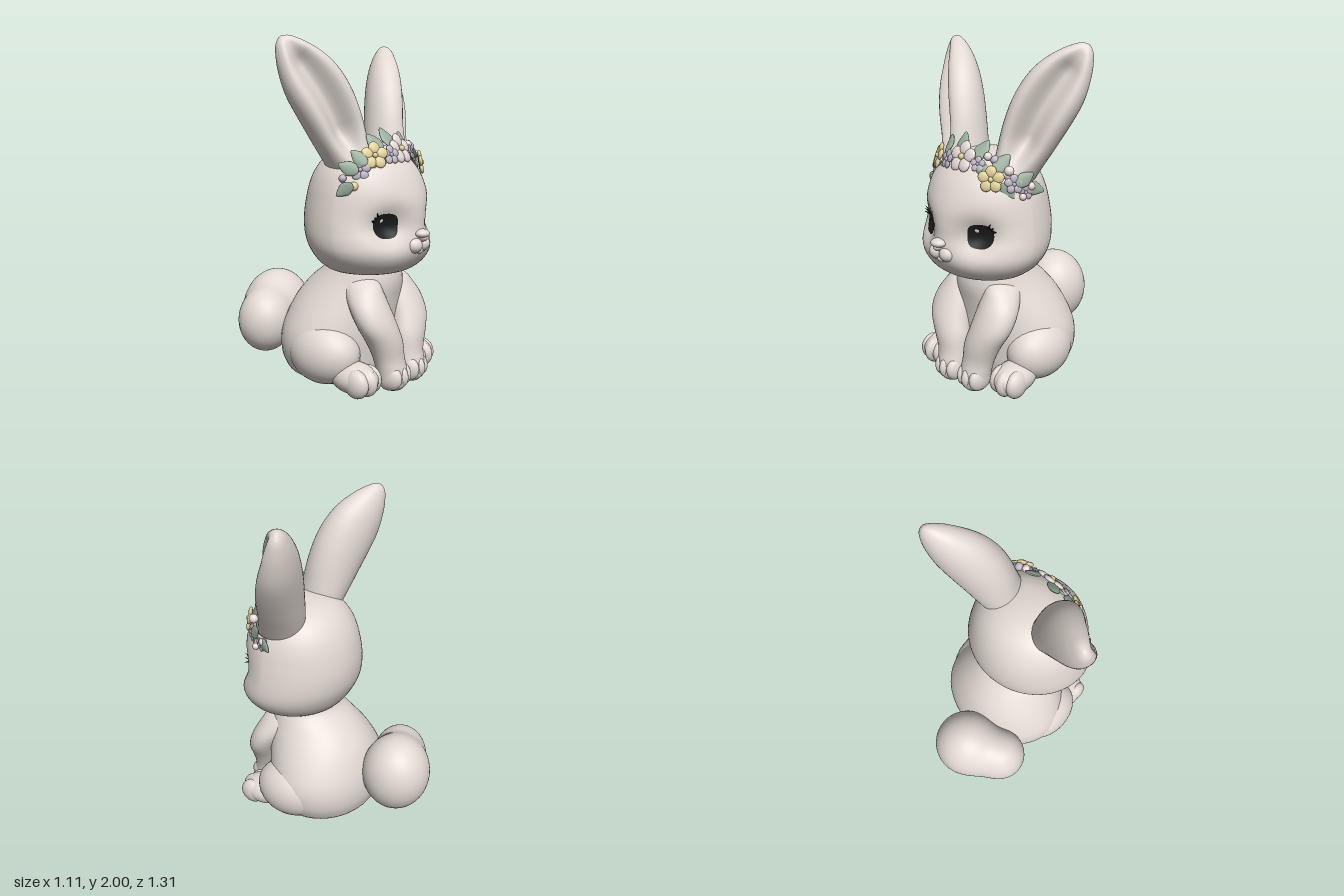
import * as THREE from 'three';

const mat = (name, color) => Object.assign(new THREE.MeshStandardMaterial({ color }), { name });
const V = (x, y, z) => new THREE.Vector3(x, y, z);

// Smooth interpolation of profile rows, keyed by their first column
function profile(rows) {
  const size = rows[0].length - 1;
  const curve = new THREE.CubicInterpolant(rows.map(r => r[0]), rows.flatMap(r => r.slice(1)), size);
  return t => Array.from(curve.evaluate(t));
}

// Row keys subdivided into even steps
function steps(rows, n) {
  const out = [];
  for (let i = 0; i < rows.length - 1; i++)
    for (let k = 0; k < n; k++) out.push(rows[i][0] + (rows[i + 1][0] - rows[i][0]) * k / n);
  return [...out, rows.at(-1)[0]];
}

// Closed skin over rings given by point(key, angle), capped at both ends
function loft(keys, point, sides = 48) {
  const rings = keys.map(k => Array.from({ length: sides }, (_, j) => point(k, j / sides * Math.PI * 2)));
  const cap = ring => {
    const c = ring.reduce((s, p) => s.add(p), V(0, 0, 0)).divideScalar(sides);
    return ring.map(() => c);
  };
  rings.unshift(cap(rings[0]));
  rings.push(cap(rings.at(-1)));
  const index = [];
  for (let i = 0; i < rings.length - 1; i++)
    for (let j = 0; j < sides; j++) {
      const a = i * sides + j, b = i * sides + (j + 1) % sides;
      index.push(a, a + sides, b, b, a + sides, b + sides);
    }
  const geo = new THREE.BufferGeometry().setFromPoints(rings.flat());
  geo.setIndex(index);
  geo.computeVertexNormals();
  return geo;
}

// Head: y, half width, back z, front z, sharpness of the face
const HEAD_X = -0.02;
const headRows = [
  [0.665, 0.12, 0.15, 0.42, 1], [0.68, 0.24, 0.05, 0.48, 1], [0.71, 0.31, -0.01, 0.535, 1],
  [0.76, 0.365, -0.055, 0.58, 1], [0.82, 0.4, -0.09, 0.608, 1.05], [0.88, 0.41, -0.115, 0.615, 1.15],
  [0.95, 0.405, -0.128, 0.61, 1.25], [1.02, 0.395, -0.13, 0.607, 1.3], [1.1, 0.38, -0.12, 0.595, 1.25],
  [1.18, 0.36, -0.1, 0.565, 1.15], [1.26, 0.325, -0.065, 0.52, 1.05], [1.33, 0.265, -0.01, 0.455, 1],
  [1.375, 0.19, 0.06, 0.39, 1], [1.397, 0.11, 0.13, 0.32, 1], [1.405, 0.04, 0.19, 0.26, 1],
];
const headAt = profile(headRows);
function faceZ(x, y) {
  const [w, zb, zf, p] = headAt(y), zm = zb + 0.53 * (zf - zb);
  const s = Math.sqrt(Math.max(0, 1 - (x / w) ** 2));
  const socket = 0.08 * Math.exp(-((Math.abs(x) - 0.2) ** 2 + (y - 0.96) ** 2) / 0.0105);
  return zm + (zf - zm) * s ** p - socket * Math.min(1, s * 1.6);
}
function headPoint(y, a) {
  const [w, zb, zf] = headAt(y), zm = zb + 0.53 * (zf - zb), x = w * Math.cos(a);
  return V(x + HEAD_X, y, Math.sin(a) >= 0 ? faceZ(x, y) : zm + (zm - zb) * Math.sin(a));
}

// Torso: y, half width, back z, front z
const torsoRows = [
  [0, 0.25, -0.16, 0.28], [0.03, 0.335, -0.245, 0.34], [0.1, 0.395, -0.29, 0.37], [0.2, 0.425, -0.305, 0.38],
  [0.3, 0.42, -0.295, 0.39], [0.4, 0.38, -0.265, 0.4], [0.5, 0.325, -0.215, 0.415], [0.6, 0.265, -0.13, 0.43],
  [0.68, 0.225, -0.03, 0.42], [0.74, 0.2, 0, 0.4],
];
// Front leg: y, centre x, centre z, radius x, radius z
const legRows = [
  [0, 0.097, 0.47, 0.06, 0.06], [0.03, 0.097, 0.47, 0.085, 0.085], [0.1, 0.099, 0.465, 0.095, 0.09],
  [0.18, 0.108, 0.45, 0.102, 0.088], [0.28, 0.132, 0.435, 0.12, 0.1], [0.38, 0.17, 0.408, 0.134, 0.107],
  [0.48, 0.18, 0.362, 0.13, 0.112], [0.56, 0.168, 0.315, 0.108, 0.117], [0.63, 0.145, 0.265, 0.075, 0.12],
  [0.68, 0.11, 0.23, 0.03, 0.06],
];
// Ear: position along the ear, half width, half depth
const earRows = [
  [0, 0.12, 0.14], [0.12, 0.136, 0.148], [0.3, 0.162, 0.15], [0.5, 0.176, 0.145], [0.68, 0.165, 0.125],
  [0.83, 0.122, 0.092], [0.93, 0.075, 0.057], [0.98, 0.04, 0.03], [1, 0.012, 0.01],
];

function earGeometry(s) {
  const path = new THREE.CatmullRomCurve3([V(0.19 * s, 1.28, 0.24), V(0.335 * s, 1.66, 0.146), V(0.515 * s, 1.995, -0.005)]);
  const at = profile(earRows), facing = V(0.42 * s, 0, 0.91);
  return loft(steps(earRows, 4), (t, a) => {
    const [w, d] = at(t), axis = path.getTangent(t);
    const out = facing.clone().addScaledVector(axis, -facing.dot(axis)).normalize();
    const side = axis.clone().cross(out);
    const c = Math.cos(a), hollow = Math.sin(a) > 0 ? 1.08 - Math.exp(-((c / 0.5) ** 2)) * Math.min(1, t * 4, (1 - t) * 5) : 1;
    return path.getPoint(t).addScaledVector(side, w * c).addScaledVector(out, d * Math.sin(a) * hollow);
  });
}

// Sphere pushed out to the soft union of several balls [x, y, z, r]
function blob(centre, balls, k, stretchY) {
  const geo = new THREE.SphereGeometry(1, 56, 40), pos = geo.attributes.position, d = V(0, 0, 0);
  const field = p => -Math.log(balls.reduce((sum, b) =>
    sum + Math.exp(-k * (Math.hypot(p.x - b[0], (p.y - b[1]) / stretchY, p.z - b[2]) - b[3])), 0)) / k;
  for (let i = 0; i < pos.count; i++) {
    d.fromBufferAttribute(pos, i);
    let lo = 0, hi = 0.8;
    for (let n = 0; n < 24; n++) {
      const m = (lo + hi) / 2;
      if (field(centre.clone().addScaledVector(d, m)) < 0) lo = m; else hi = m;
    }
    d.multiplyScalar(lo).add(centre);
    pos.setXYZ(i, d.x, d.y, d.z);
  }
  geo.computeVertexNormals();
  return geo;
}

export function createModel() {
  const fur = mat('fur', 0xe2d9d2), dark = mat('eyeBlack', 0x1b1b1d), glint = mat('eyeGlint', 0xf2f2f2);
  const green = mat('leafGreen', 0x9aae9b), yellow = mat('petalYellow', 0xe3d39c);
  const lilac = mat('petalLilac', 0xc1b8c7), pale = mat('petalPale', 0xe8dddb);
  const model = new THREE.Group();
  model.name = 'rabbit';
  const add = (name, geo, material, parent = model) => {
    const m = new THREE.Mesh(geo, material);
    m.name = name;
    parent.add(m);
    return m;
  };
  const ball = (name, p, r, material = fur, parent = model, seg = 28) => {
    const m = add(name, new THREE.SphereGeometry(1, seg, Math.round(seg * 0.7)), material, parent);
    m.position.set(...p);
    m.scale.set(...r);
    return m;
  };

  // Body and tail
  const torsoAt = profile(torsoRows);
  add('torso', loft(steps(torsoRows, 4), (y, a) => {
    const [w, zb, zf] = torsoAt(y);
    return V(w * Math.cos(a), y, (zb + zf) / 2 + (zf - zb) / 2 * Math.sin(a));
  }), fur);
  add('tail', blob(V(-0.16, 0.32, -0.41),
    [[-0.06, 0.33, -0.438, 0.213], [-0.17, 0.31, -0.42, 0.14], [-0.28, 0.305, -0.35, 0.165]], 32, 1.16), fur);

  // Head and muzzle
  add('head', loft(steps(headRows, 4), headPoint, 72), fur);
  ball('nose', [-0.03, 0.915, 0.612], [0.049, 0.026, 0.045]);
  ball('noseTip', [-0.03, 0.895, 0.608], [0.026, 0.026, 0.044]);
  ball('lowerLip', [-0.03, 0.817, 0.582], [0.036, 0.025, 0.035]);

  const legAt = profile(legRows);
  for (const s of [1, -1]) {
    // Limbs
    ball('haunch', [0.295 * s, 0.2, 0.12], [0.172, 0.187, 0.235]).rotation.y = 0.06 * s;
    add('frontLeg', loft(steps(legRows, 3), (y, a) => {
      const [cx, cz, rx, rz] = legAt(y);
      return V(cx * s + rx * Math.cos(a), y, cz + rz * Math.sin(a));
    }, 36), fur);
    const foot = new THREE.Group();
    foot.name = 'hindFoot';
    foot.position.set(0.3 * s, 0, 0.34);
    foot.rotation.y = 0.08 * s;
    model.add(foot);
    ball('footPad', [0, 0.092, 0], [0.112, 0.092, 0.155], fur, foot);
    for (const i of [-1, 0, 1]) {
      ball('frontToe', [0.097 * s + i * 0.05, 0.076, 0.495 - 0.012 * Math.abs(i)], [0.043, 0.076, 0.08], fur, model, 18);
      ball('hindToe', [i * 0.058, 0.083, 0.08 - 0.018 * Math.abs(i)], [0.052, 0.083, 0.083], fur, foot, 18);
    }
    // Ears, lips
    add('ear', earGeometry(s), fur);
    ball('lip', [-0.03 + 0.042 * s, 0.85, 0.58], [0.053, 0.047, 0.054]);

    // Eyes follow the face surface
    const onFace = (name, cx, cy, rx, ry, lift, material) => {
      const geo = new THREE.RingGeometry(0.001, 1, 28, 5), pos = geo.attributes.position;
      for (let i = 0; i < pos.count; i++) {
        const u = pos.getX(i), v = pos.getY(i), square = 1 + 0.35 * u * u * v * v;
        const x = cx + rx * u * square, y = cy + ry * v * square;
        pos.setXYZ(i, x + HEAD_X, y, faceZ(x, y) + lift + 0.003 * (1 - u * u - v * v));
      }
      geo.computeVertexNormals();
      add(name, geo, material);
    };
    onFace('eye', 0.205 * s, 0.97, 0.066, 0.07, 0.005, dark);
    onFace('eyeGlint', 0.205 * s - 0.02, 1.0, 0.009, 0.01, 0.012, glint);
    for (let i = 0; i < 3; i++) {
      const x = (0.25 + 0.011 * i) * s, y = 1.028 - 0.014 * i;
      const lash = add('eyelash', new THREE.ConeGeometry(0.008, 0.04, 6), dark);
      const dir = V((0.6 + 0.2 * i) * s, 0.75 - 0.25 * i, 0.3).normalize();
      lash.quaternion.setFromUnitVectors(V(0, 1, 0), dir);
      lash.position.set(x + HEAD_X, y, faceZ(x, y) + 0.006).addScaledVector(dir, 0.012);
    }
  }

  // Flower crown: every piece faces away from the head
  const crown = new THREE.Group();
  crown.name = 'flowerCrown';
  model.add(crown);
  const place = (name, x, y, z, roll) => {
    const g = new THREE.Group();
    g.name = name;
    g.position.set(x, y, z);
    g.lookAt(V(x, y, z).multiplyScalar(2).sub(V(0, 1.22, 0.1)));
    g.rotateZ(roll);
    crown.add(g);
    return g;
  };
  const flowers = [
    [0, 1.383, 0.445, 0.092, pale], [-0.225, 1.355, 0.42, 0.078, yellow], [0.225, 1.292, 0.45, 0.074, yellow],
    [-0.305, 1.28, 0.378, 0.06, lilac], [-0.115, 1.355, 0.455, 0.056, lilac], [0.12, 1.36, 0.445, 0.045, lilac],
    [0.315, 1.265, 0.362, 0.054, lilac], [0.335, 1.21, 0.292, 0.044, lilac],
  ];
  for (const [x, y, z, r, m] of flowers) {
    const g = place('flower', x, y, z, 0);
    for (let i = 0; i < 5; i++) {
      const a = Math.PI / 2 + i * Math.PI * 0.4;
      const petal = ball('petal', [Math.cos(a) * r * 0.58, Math.sin(a) * r * 0.58, 0], [r * 0.45, r * 0.42, r * 0.17], m, g, 14);
      petal.rotation.z = a;
    }
    ball('flowerCentre', [0, 0, r * 0.12], [r * 0.2, r * 0.2, r * 0.17], m === lilac ? lilac : yellow, g, 12);
  }
  const buds = [
    [-0.34, 1.19, 0.36, 0.027, yellow], [-0.375, 1.235, 0.31, 0.022, lilac], [0.155, 1.4, 0.4, 0.024, pale],
    [0.2, 1.385, 0.39, 0.026, lilac], [0.285, 1.335, 0.37, 0.028, pale], [0.345, 1.24, 0.26, 0.024, pale],
    [0.34, 1.19, 0.32, 0.02, pale],
  ];
  for (const [x, y, z, r, m] of buds) ball('bud', [x, y, z], [r, r, r], m, crown, 14);

  const leafGeo = new THREE.SphereGeometry(1, 14, 12);
  const lp = leafGeo.attributes.position;
  for (let i = 0; i < lp.count; i++) {
    const y = lp.getY(i), taper = 1 - 0.5 * Math.max(0, y);
    lp.setXYZ(i, lp.getX(i) * taper * 0.68, y, lp.getZ(i) * 0.2 + 0.1 * y * y);
  }
  leafGeo.computeVertexNormals();
  const leaves = [ // x, y, z, half length, roll
    [-0.385, 1.175, 0.33, 0.055, 2.2], [-0.35, 1.29, 0.33, 0.06, 1.2], [-0.3, 1.345, 0.365, 0.058, 0.8],
    [-0.25, 1.27, 0.4, 0.055, 2.6], [-0.17, 1.42, 0.38, 0.066, 0.6], [-0.055, 1.445, 0.385, 0.07, 0.3],
    [-0.18, 1.315, 0.43, 0.05, 2.6], [-0.075, 1.325, 0.445, 0.052, 2.4], [0.1, 1.425, 0.39, 0.068, -0.5],
    [0.155, 1.33, 0.435, 0.052, -2], [0.24, 1.37, 0.38, 0.066, -0.7], [0.28, 1.225, 0.38, 0.055, -2.4],
    [0.345, 1.29, 0.31, 0.058, -1], [0.355, 1.225, 0.24, 0.058, -1.9],
  ];
  for (const [x, y, z, r, roll] of leaves) add('leaf', leafGeo, green, place('leafStem', x, y, z, roll)).scale.setScalar(r);

  return model;
}
